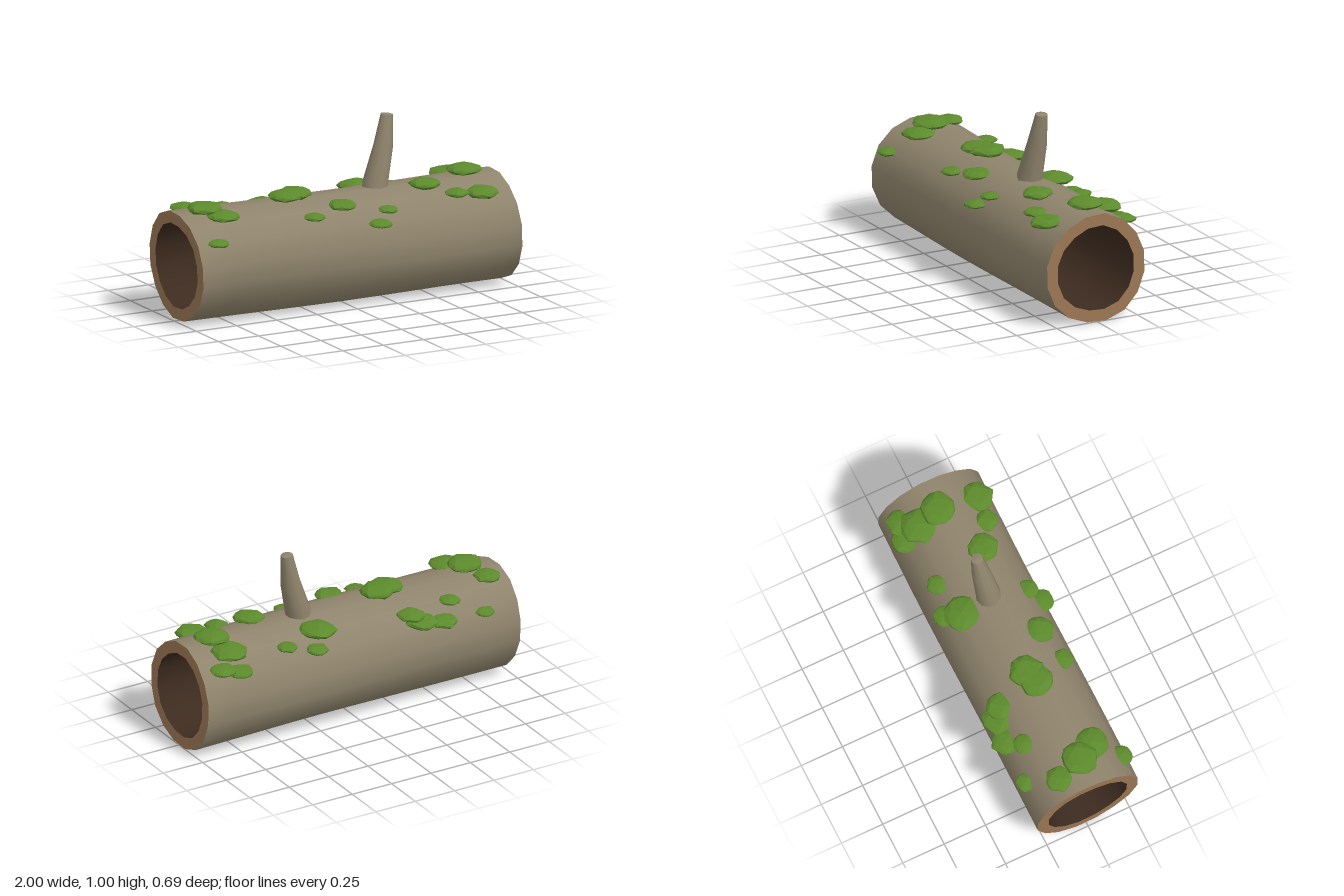
import * as THREE from 'three';

const mat = (name, color) => Object.assign(new THREE.MeshStandardMaterial({ color }), { name });
const SIDES = 16;

// Skin a list of closed cross-sections; the order of the sections sets the facing
function loft(rings) {
  const n = rings[0].length, index = [];
  for (let i = 0; i < rings.length - 1; i++) {
    for (let j = 0; j < n; j++) {
      const k = (j + 1) % n;
      const a = i * n + j, b = i * n + k, c = a + n, d = b + n;
      index.push(a, b, c, b, d, c);
    }
  }
  const geo = new THREE.BufferGeometry().setFromPoints(rings.flat());
  geo.setIndex(index);
  geo.computeVertexNormals();
  return geo;
}

// Slightly uneven log cross-section; the end cuts lean a little
function logRing(x, radius) {
  return Array.from({ length: SIDES }, (_, j) => {
    const t = ((j + 0.5) / SIDES) * Math.PI * 2;
    const r = radius + 0.004 * Math.sin(3 * t + 2.5 * x) + 0.002 * Math.sin(5 * t - 4 * x);
    const y = Math.cos(t) * r;
    const lean = x < 0 ? -0.04 * Math.max(0, -x) : -0.025 * Math.max(0, x);
    return new THREE.Vector3(x + lean * y, 0.316 - 0.004 * x + y, Math.sin(t) * r + 0.002);
  });
}

// Branch cross-section, tilted to follow the lean
function branchRing([x, y, z, r], slope) {
  return Array.from({ length: 10 }, (_, j) => {
    const t = (j / 10) * Math.PI * 2, dx = Math.sin(t) * r;
    return new THREE.Vector3(x + dx, y - dx * slope, z + Math.cos(t) * r);
  });
}

// Flattened, uneven moss clump
function mossGeometry(seed) {
  const geo = new THREE.IcosahedronGeometry(1, 1);
  const p = geo.attributes.position, v = new THREE.Vector3();
  for (let i = 0; i < p.count; i++) {
    v.fromBufferAttribute(p, i);
    const s = 1 + 0.1 * Math.sin(5 * v.x + seed * 2.3) * Math.cos(4 * v.z + seed * 1.7 + v.y);
    p.setXYZ(i, v.x * s, v.y * s, v.z * s);
  }
  geo.computeVertexNormals();
  return geo;
}

export function createModel() {
  const group = new THREE.Group();
  group.name = 'hollowLog';
  const bark = mat('bark', 0x8f846c);
  const cutWood = mat('cutWood', 0x9b7653);
  const hollow = mat('hollow', 0x3d2b1f);
  const moss = mat('moss', 0x5c8a2c);
  moss.flatShading = true;

  const add = (name, geo, material) => {
    const mesh = new THREE.Mesh(geo, material);
    mesh.name = name;
    group.add(mesh);
    return mesh;
  };

  // Hollow trunk: bark outside, dark inside, cut ring at each end
  const xs = Array.from({ length: 11 }, (_, i) => -0.988 + (i / 10) * 1.98);
  const outer = xs.map((x) => logRing(x, 0.307));
  const inner = xs.map((x) => logRing(x, 0.24));
  add('barkShell', loft(outer), bark);
  add('innerWall', loft([...inner].reverse()), hollow);
  add('leftCutRing', loft([outer[10], inner[10]]), cutWood);
  add('rightCutRing', loft([inner[0], outer[0]]), cutWood);

  // Broken branch stub, bending upward
  const path = [
    [0.235, 0.52, 0.006, 0.074], [0.247, 0.64, 0.002, 0.07],
    [0.302, 0.83, -0.011, 0.054], [0.331, 1.005, -0.023, 0.034],
  ];
  const slopes = [0.1, 0.2, 0.25, 0.1];
  const rings = path.map((p, i) => branchRing(p, slopes[i]));
  add('branch', loft(rings), bark);
  const [tx, ty, tz] = path[3], [bx, by, bz] = path[0];
  add('branchTip', loft([rings[3], branchRing([tx, ty + 0.006, tz, 0.001], 0)]), bark);
  add('branchBase', loft([branchRing([bx, by, bz, 0.001], 0), rings[0]]), bark);

  // Moss clumps resting on the upper bark: x, z, radius
  const clumps = [
    [-0.88, -0.12, 0.075], [-0.83, 0.03, 0.1], [-0.77, 0.135, 0.09], [-0.87, 0.265, 0.062],
    [-0.78, -0.27, 0.055], [-0.6, -0.195, 0.058], [-0.52, -0.265, 0.08], [-0.39, -0.25, 0.09],
    [-0.34, -0.215, 0.078], [-0.25, -0.01, 0.098], [-0.32, 0.015, 0.095], [-0.245, 0.215, 0.06],
    [-0.05, 0.17, 0.08], [0.13, 0.272, 0.066], [0.205, 0.226, 0.056], [0.27, -0.25, 0.062],
    [0.22, -0.168, 0.1], [0.44, -0.212, 0.058], [0.5, 0.095, 0.087], [0.65, 0.192, 0.065],
    [0.8, 0.205, 0.092], [0.81, -0.03, 0.097], [0.78, -0.16, 0.102], [0.76, -0.255, 0.072],
    [0.86, -0.235, 0.073],
  ];
  clumps.forEach(([x, z, r], i) => {
    const clump = add('mossClump', mossGeometry(i), moss);
    clump.position.set(x, 0.318 + Math.sqrt(0.317 ** 2 - z * z), z);
    clump.scale.set(r, r * 0.32, r);
    clump.rotation.x = z * 0.3;
  });

  return group;
}
